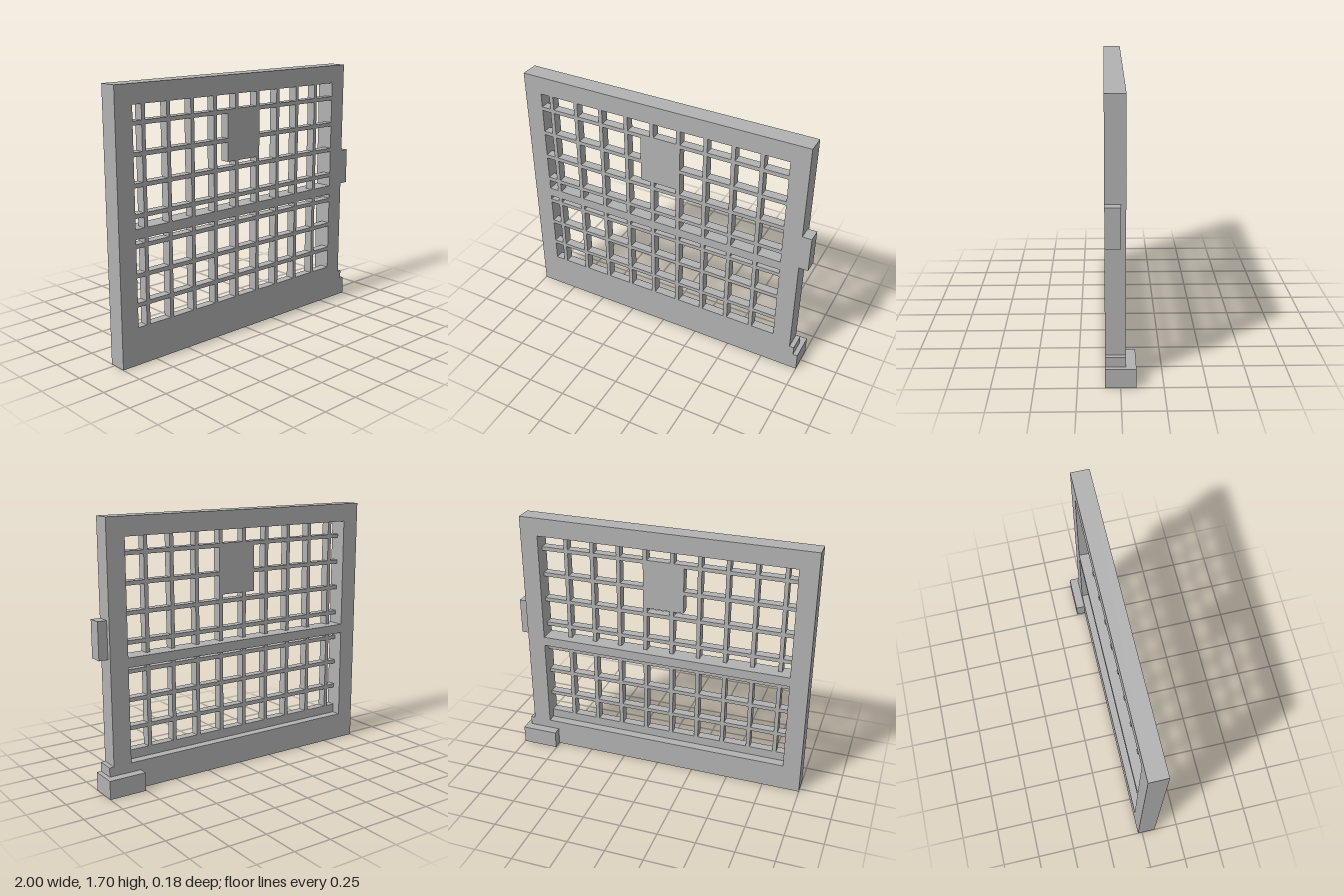
import * as THREE from 'three';

export function createModel() {
  const group = new THREE.Group();
  const grey = new THREE.MeshStandardMaterial({ color: 0xb2b2b2 });
  grey.name = 'plain grey';

  const add = (name, geometry) => {
    const mesh = new THREE.Mesh(geometry, grey);
    mesh.name = name;
    group.add(mesh);
    return mesh;
  };
  // Box given by its minimum and maximum on each axis
  const block = (name, x0, x1, y0, y1, z0, z1) => {
    const mesh = add(name, new THREE.BoxGeometry(x1 - x0, y1 - y0, z1 - z0));
    mesh.position.set((x0 + x1) / 2, (y0 + y1) / 2, (z0 + z1) / 2);
  };
  const rectangle = (Type, x0, x1, y0, y1) => new Type([
    new THREE.Vector2(x0, y0), new THREE.Vector2(x1, y0),
    new THREE.Vector2(x1, y1), new THREE.Vector2(x0, y1),
  ]);

  const back = -0.03, front = 0.09, latticeBack = 0.03;
  const left = -0.88, right = 0.82, sill = 0.24, head = 1.58;

  // Outer frame with one large opening
  const outline = rectangle(THREE.Shape, -1, 0.94, 0, 1.7);
  outline.holes.push(rectangle(THREE.Path, left, right, 0.18, head));
  const frame = add('frame', new THREE.ExtrudeGeometry(outline, { depth: front - back, bevelEnabled: false }));
  frame.position.z = back;

  // Raised front sill and full-depth middle rail
  block('sill', left, right, 0.18, sill, latticeBack, front);
  block('middleRail', left, right, 0.788, 0.85, back, front);

  // Lattice flush with the front face
  const pitch = 0.182, half = 0.013;
  for (let i = 0; i < 9; i++) {
    const x = -0.804 + i * pitch;
    block('verticalBar', x - half, x + half, sill, head, latticeBack, front);
  }
  for (let i = 0; i < 7; i++) {
    const y = 0.382 + i * pitch;
    block('horizontalBar', left, right, y - half, y + half, latticeBack, front);
  }

  // Solid panel within the lattice
  block('panel', -0.155, 0.117, 1.155, 1.48, latticeBack, front);

  // Side latch, step and foot
  block('latch', 0.94, 1, 0.85, 1.09, 0, front);
  block('step', 0.94, 0.97, 0.12, 0.18, back, front);
  block('footSide', 0.94, 1, 0, 0.12, back, front);
  block('footBack', 0.755, 1, 0, 0.12, -0.09, back);

  return group;
}
